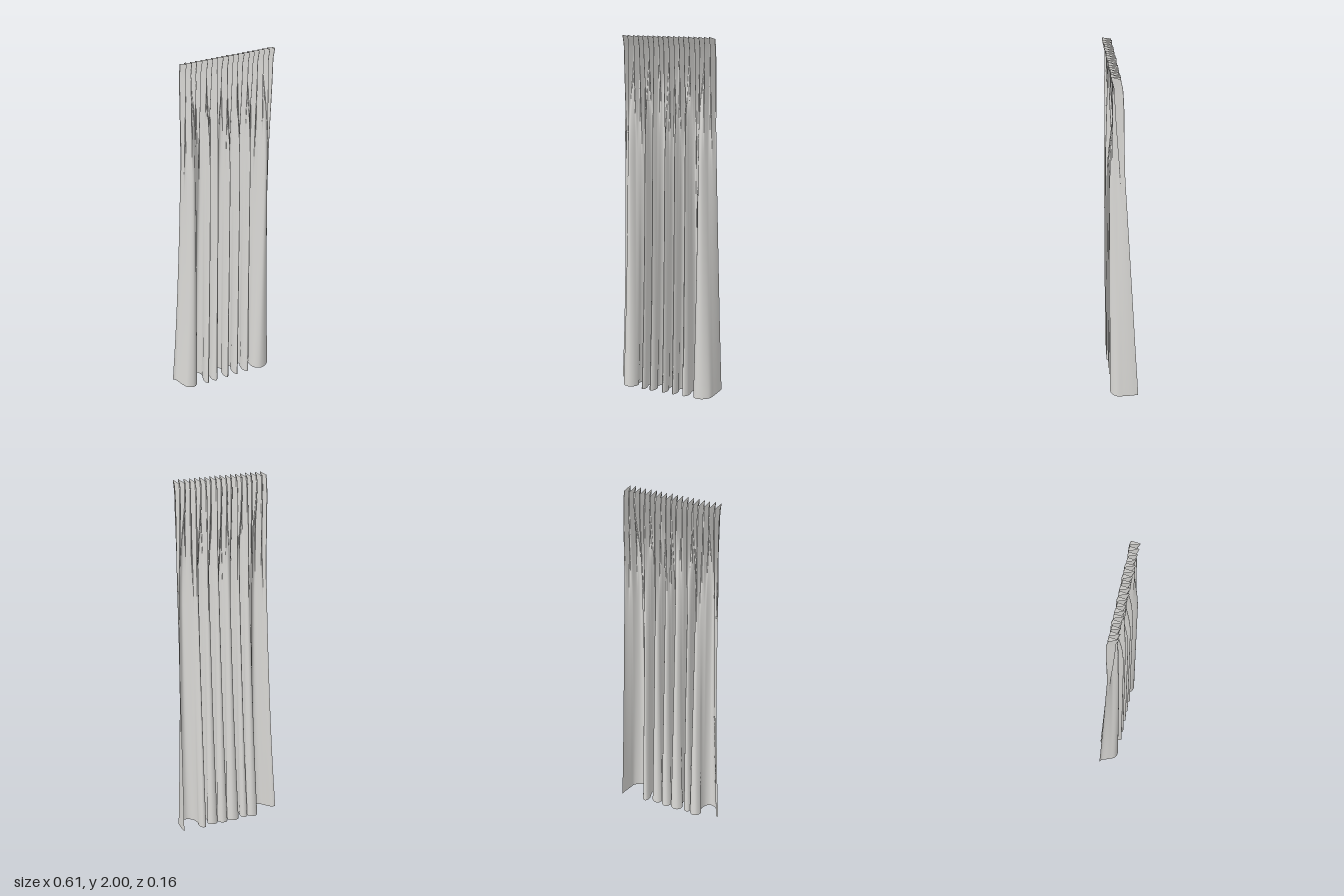
import * as THREE from 'three';

const COLS = 540, ROWS = 48, HEIGHT = 2, PLEATS = 18;
const TOP_LEFT = -0.25, TOP_RIGHT = 0.29;

// Back-going folds along the hem: centre x, half width, deepest z
const FOLDS = [
  [-0.155, 0.034, -0.053], [-0.103, 0.022, -0.042], [-0.032, 0.036, -0.05],
  [0.035, 0.03, -0.048], [0.097, 0.03, -0.042], [0.165, 0.02, -0.053],
];

// Plan of the hem, from one side edge of the cloth to the other
function hemCurve() {
  const pts = [[-0.305, -0.033], [-0.29, -0.025], [-0.27, 0.02], [-0.25, 0.055], [-0.215, 0.066], [-0.19, 0.05]];
  FOLDS.forEach(([c, h, z], i) => {
    pts.push([c - 0.65 * h, 0.012], [c - h, -0.02], [c - 0.45 * h, z], [c + 0.45 * h, z], [c + h, -0.02], [c + 0.65 * h, 0.012]);
    const next = FOLDS[i + 1];
    if (!next) return;
    // rounded front fold between two back folds
    const a = c + 0.65 * h, b = next[0] - 0.65 * next[1];
    const m = (a + b) / 2, w = Math.max(0.012, (b - a) * 0.45);
    pts.push([m - w, 0.052], [m, 0.07], [m + w, 0.052]);
  });
  pts.push([0.188, 0.055], [0.215, 0.076], [0.25, 0.072], [0.283, 0.045], [0.292, 0.005], [0.3, -0.045], [0.302, -0.078]);
  return new THREE.CatmullRomCurve3(pts.map(([x, z]) => new THREE.Vector3(x, 0, z)), false, 'centripetal');
}

const { lerp, smoothstep, clamp, mapLinear } = THREE.MathUtils;

// Header position of every column: the hem averaged over one fold, so that folds hang straight
function headerLine(hem) {
  const span = Math.round(COLS * 0.075);
  const mean = hem.map((_, c) => {
    let sum = 0;
    for (let k = -span; k <= span; k++) sum += hem[clamp(c + k, 0, COLS)].x;
    return sum / (2 * span + 1);
  });
  return mean.map((x) => mapLinear(x, mean[0], mean[COLS], 0, 1));
}

// Sharp pleat profile with a flat back, 0 at the back and 1 at the front
function pleat(u) {
  const f = (u * PLEATS) % 1;
  return clamp((1 - Math.abs(2 * f - 1)) * 1.35 - 0.35, 0, 1);
}

function createCloth() {
  const curve = hemCurve();
  curve.arcLengthDivisions = 1500;
  const hem = curve.getSpacedPoints(COLS);
  const header = headerLine(hem);
  const geometry = new THREE.PlaneGeometry(1, 1, COLS, ROWS);
  const pos = geometry.attributes.position;

  for (let r = 0; r <= ROWS; r++) {
    // rows are closer together near the gathered header
    const drop = Math.pow(r / ROWS, 1.35);
    const rim = 1 - smoothstep(drop, 0, 0.035);
    const midZ = 0.036 + 0.009 * rim;
    for (let c = 0; c <= COLS; c++) {
      const u = header[c], h = hem[c], p = pleat(u);
      const edge = Math.pow(Math.abs(2 * u - 1), 12);
      const hemLift = 0.02 * edge * smoothstep(drop, 0.8, 1);
      const y = HEIGHT * (1 - drop) - 0.012 * (1 - p) * rim + hemLift;

      // header pleats lean forward at the rim and fade out below
      const reach = 0.3 + 0.1 * Math.sin(41 * u) + 0.05 * Math.sin(97 * u);
      const fade = 1 - smoothstep(drop, 0.04, reach);
      const depth = (0.046 + 0.008 * rim) * fade * (0.92 + 0.08 * Math.sin(29 * u));

      // hem folds grow steadily downwards, the front ones sooner
      const rel = h.z - midZ;
      const grow = rel > 0 ? smoothstep(drop, 0, 0.35) : Math.pow(drop, 0.9);
      const x = lerp(lerp(TOP_LEFT, TOP_RIGHT, u), h.x, Math.pow(drop, 2.2));
      pos.setXYZ(r * (COLS + 1) + c, x, y, midZ + rel * grow + (p - 0.5) * depth);
    }
  }
  geometry.computeVertexNormals();
  return geometry;
}

export function createModel() {
  const group = new THREE.Group();
  group.name = 'curtain';
  const fabric = new THREE.MeshStandardMaterial({ color: 0xd9d8d5, side: THREE.DoubleSide });
  fabric.name = 'pale grey fabric';
  const cloth = new THREE.Mesh(createCloth(), fabric);
  cloth.name = 'curtainCloth';
  group.add(cloth);
  return group;
}
